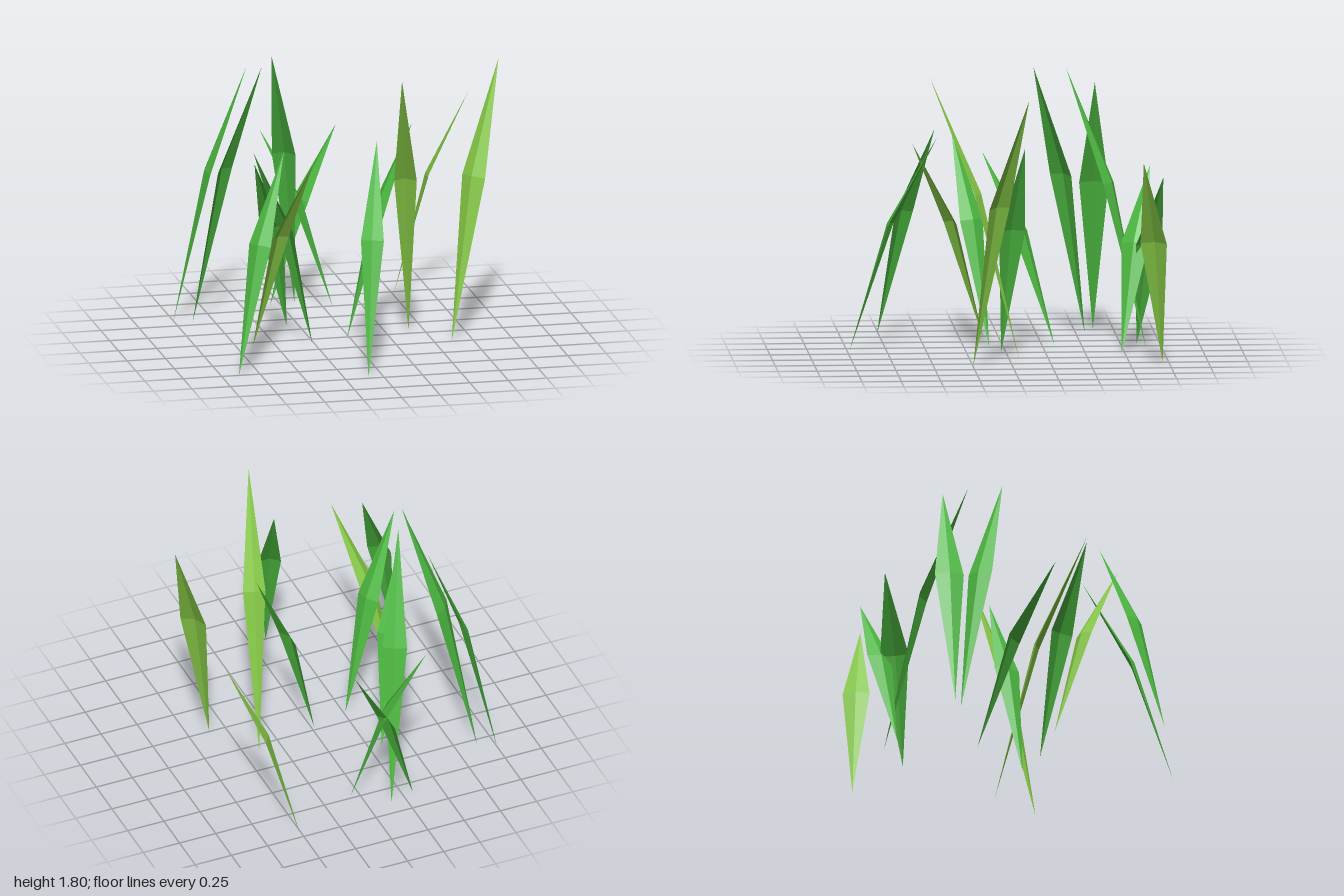
import * as THREE from 'three';

const green = new THREE.MeshStandardMaterial({ color: 0x4cb840, side: THREE.DoubleSide, flatShading: true });
green.name = 'leaf green';
const lime = new THREE.MeshStandardMaterial({ color: 0x86c846, side: THREE.DoubleSide, flatShading: true });
lime.name = 'lime green';

// One blade: pointed root, widest at a creased middle, pointed tip, bending outward as it rises.
function blade(bx, bz, tx, tz, height, halfWidth) {
  const base = new THREE.Vector3(bx, 0, bz);
  const tip = new THREE.Vector3(tx, height, tz);
  const mid = base.clone().lerp(tip, 0.47).setY(height * 0.59);
  const side = new THREE.Vector3(-(tz - bz), 0, tx - bx).normalize();
  const up = side.clone().cross(tip.clone().sub(base)).normalize();
  if (up.y < 0) up.negate();
  const left = mid.clone().addScaledVector(side, -halfWidth);
  const right = mid.clone().addScaledVector(side, halfWidth);
  const ridge = mid.clone().addScaledVector(up, 0.025); // raised centre crease
  const corners = [
    base, right, ridge, base, ridge, left,
    tip, ridge, right, tip, left, ridge,
  ];
  // Face the upper side outward
  const normal = right.clone().sub(base).cross(ridge.clone().sub(base));
  if (normal.dot(up) < 0) corners.reverse();
  const geometry = new THREE.BufferGeometry().setFromPoints(corners);
  geometry.computeVertexNormals();
  return geometry;
}

// root x, root z, tip x, tip z, height, half width
const greenBlades = [
  [-0.32, -0.85, 0.14, -0.99, 1.13, 0.09],
  [0.06, -0.73, -0.37, -0.94, 1.14, 0.093],
  [-0.15, -0.9, -0.41, -0.41, 1.76, 0.078],
  [-1.0, -0.62, -0.53, -0.6, 1.65, 0.093],
  [-0.89, -0.56, -0.52, -0.21, 1.75, 0.088],
  [-0.33, -0.33, -0.64, 0.11, 1.2, 0.082],
  [-0.26, 0.09, -0.69, 0.3, 1.33, 0.083],
  [-0.89, 0.76, -0.52, 0.42, 1.36, 0.083],
  [-0.1, 0.99, 0.08, 0.44, 1.4, 0.073],
  [-0.02, 0.03, 0.43, -0.09, 1.36, 0.087],
];
const limeBlades = [
  [-0.65, 0.1, -0.37, 0.57, 1.29, 0.072],
  [0.4, -0.06, 0.23, 0.5, 1.8, 0.072],
  [0.61, 0.25, 0.99, -0.08, 1.75, 0.09],
  [0.51, -0.96, 0.96, -0.81, 1.34, 0.086],
];

export function createModel() {
  const model = new THREE.Group();
  model.name = 'grassTuft';
  const plant = (list, material, name) => list.forEach((values, i) => {
    const mesh = new THREE.Mesh(blade(...values), material);
    mesh.name = name + (i + 1);
    model.add(mesh);
  });
  plant(greenBlades, green, 'greenBlade');
  plant(limeBlades, lime, 'limeBlade');
  return model;
}
